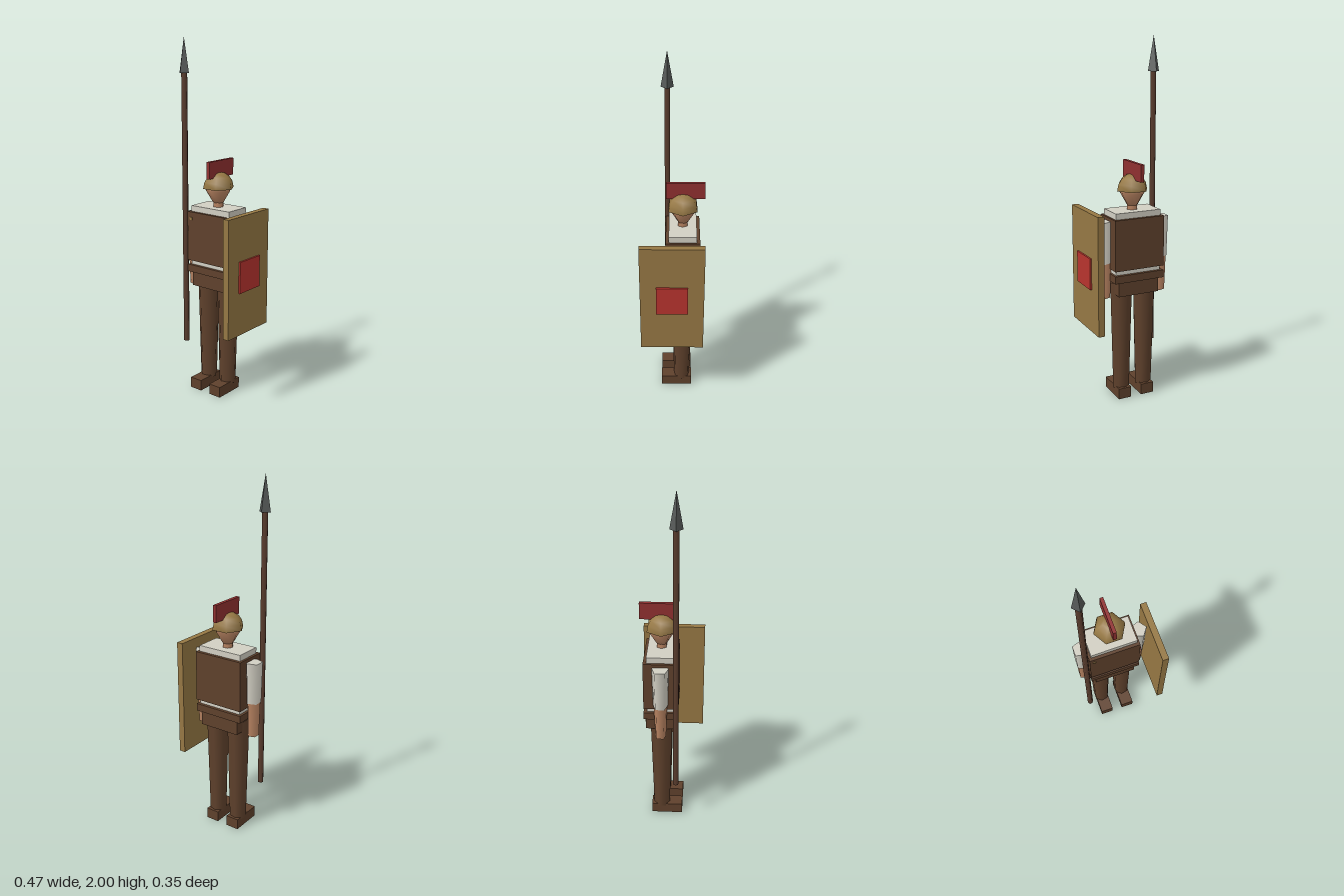
import * as THREE from 'three';

const mat = (name, color, extra = {}) => {
  const m = new THREE.MeshStandardMaterial({ color, ...extra });
  m.name = name;
  return m;
};

export function createModel() {
  const leather = mat('brown leather', 0x5f412c);
  const wood = mat('spear wood', 0x5a3d2e);
  const linen = mat('off-white linen', 0xd2cfc3);
  const skin = mat('skin', 0xb98462);
  const bronze = mat('bronze', 0x967844, { side: THREE.DoubleSide });
  const red = mat('bright red', 0xb8342e);
  const crestRed = mat('dark red', 0x903030);
  const steel = mat('dark steel', 0x565a58, { flatShading: true });

  const model = new THREE.Group();
  model.name = 'spearman';
  const CX = -0.03, CZ = -0.058; // body axis

  const add = (name, geo, material, x = 0, y = 0, z = 0) => {
    const mesh = new THREE.Mesh(geo, material);
    mesh.name = name;
    mesh.position.set(x, y, z);
    model.add(mesh);
    return mesh;
  };
  // box given by its minimum and maximum on each axis
  const box = (name, material, [x0, x1], [y0, y1], [z0, z1]) =>
    add(name, new THREE.BoxGeometry(x1 - x0, y1 - y0, z1 - z0), material,
      (x0 + x1) / 2, (y0 + y1) / 2, (z0 + z1) / 2);
  // tapered limb with one corner pointing to +x
  const limb = (name, material, rTop, rBottom, y0, y1, sides, x, z = CZ) => {
    const geo = new THREE.CylinderGeometry(rTop, rBottom, y1 - y0, sides);
    geo.rotateY(Math.PI / 2);
    return add(name, geo, material, x, (y0 + y1) / 2, z);
  };

  // torso, belt and hips
  box('tunic', linen, [-0.163, 0.104], [0.72, 1.083], [-0.134, 0.018]);
  box('cuirass', leather, [-0.177, 0.116], [0.768, 1.05], [-0.152, 0.035]);
  box('belt', leather, [-0.177, 0.116], [0.70, 0.742], [-0.152, 0.035]);
  box('hips', leather, [-0.15, 0.09], [0.62, 0.70], [-0.142, 0.026]);

  // legs, boots and arms
  for (const [side, s] of [['left', 1], ['right', -1]]) {
    const lx = CX + s * 0.07;
    limb(side + 'Leg', leather, 0.063, 0.047, 0.05, 0.68, 7, lx);
    box(side + 'Boot', leather, [lx - 0.038, lx + 0.038], [0, 0.062], [-0.116, 0.062]);
    const ax = CX + s * 0.169;
    limb(side + 'Sleeve', linen, 0.048, 0.042, 0.8, 1.032, 5, ax);
    limb(side + 'Forearm', skin, 0.038, 0.032, 0.602, 0.8, 5, ax);
  }

  // neck and head
  limb('neck', skin, 0.03, 0.03, 1.07, 1.13, 6, CX);
  const face = [[0, 1.1], [0.03, 1.107], [0.07, 1.175], [0.062, 1.22], [0, 1.245]];
  add('head', new THREE.LatheGeometry(face.map(p => new THREE.Vector2(...p)), 7), skin, CX, 0, CZ);

  // six-sided helmet with a lengthwise crest
  add('helmet', new THREE.SphereGeometry(0.09, 6, 4, 0, Math.PI * 2, 0, Math.PI / 2), bronze, CX, 1.188, CZ);
  box('crest', crestRed, [-0.04, -0.02], [1.248, 1.342], [-0.177, 0.032]);

  // small fittings: shoulder stud, strap end and scabbard
  box('shoulderStud', bronze, [-0.16, -0.142], [1.005, 1.02], [0.03, 0.04]);
  box('strapEnd', crestRed, [0.1, 0.123], [0.96, 0.99], [0.017, 0.028]);
  box('scabbard', leather, [0.092, 0.108], [0.64, 0.71], [-0.02, 0.01]);

  // shield with a raised square boss on its outer face
  box('shield', bronze, [0.191, 0.227], [0.424, 1.086], [-0.176, 0.174]);
  box('shieldBoss', red, [0.225, 0.237], [0.667, 0.842], [-0.088, 0.086]);

  // spear
  limb('spearShaft', wood, 0.017, 0.017, 0.27, 1.815, 6, -0.199, 0.027);
  add('spearHead', new THREE.ConeGeometry(0.034, 0.19, 4), steel, -0.199, 1.905, 0.027);

  return model;
}
